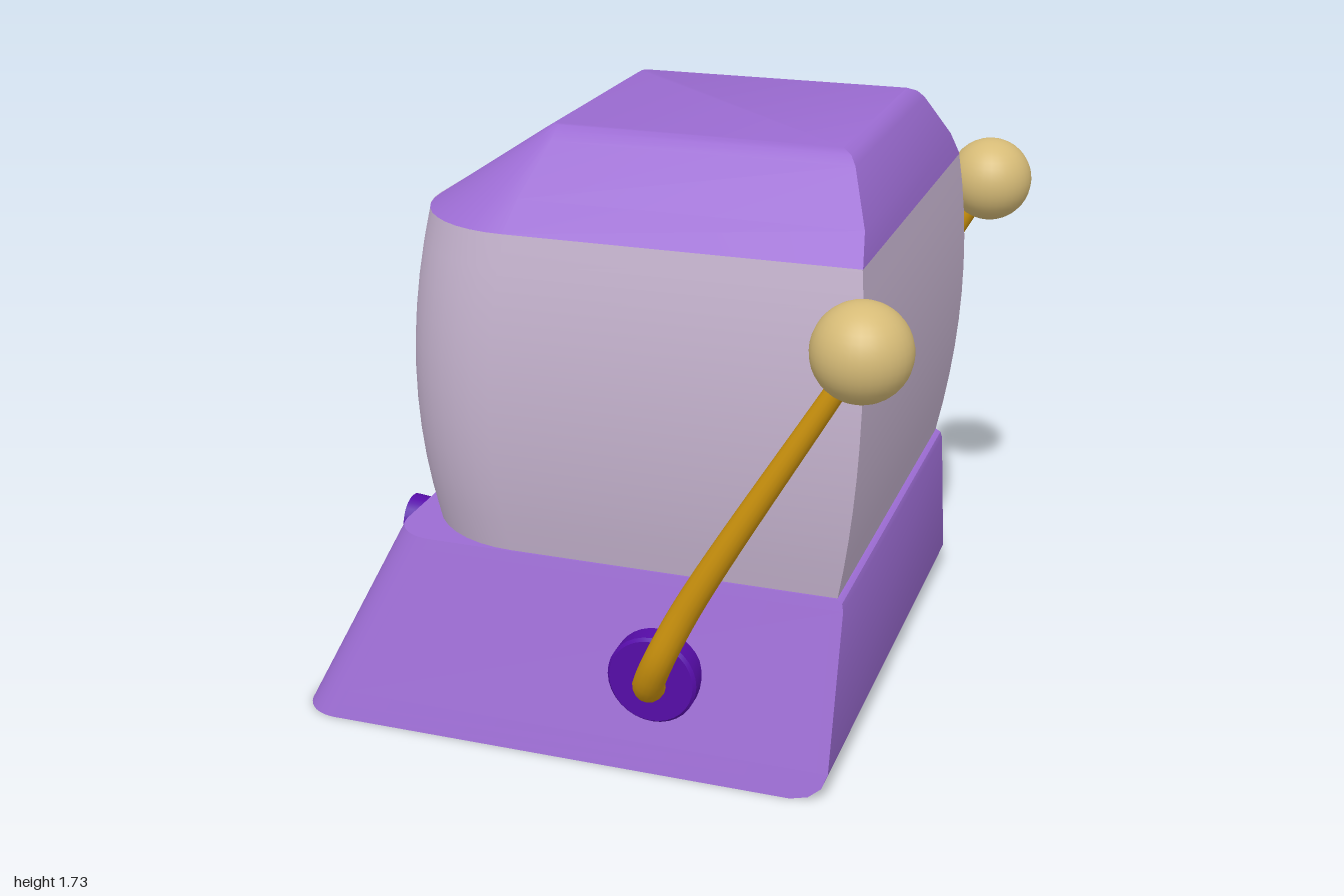
import * as THREE from 'three';
import { toCreasedNormals } from 'three/addons/utils/BufferGeometryUtils.js';

const mat = (name, color, side = THREE.FrontSide) => new THREE.MeshStandardMaterial({ name, color, side });

// Geometry from a list of quads, each with four [x, y, z] corners
function quads(list, crease = 0.6) {
  const pos = [];
  for (const [a, b, c, d] of list) pos.push(...a, ...b, ...c, ...a, ...c, ...d);
  const g = new THREE.BufferGeometry();
  g.setAttribute('position', new THREE.Float32BufferAttribute(pos, 3));
  return toCreasedNormals(g, crease);
}

// Plan outline: square corners at +x, rounded corners of radius r at -x
const ARC = 10;
function outline({ y, x0, x1, hz, r }) {
  const pts = [[x1, y, hz], [x1, y, -hz]];
  for (let i = 0; i <= ARC; i++) {
    const t = (i / ARC) * Math.PI / 2;
    pts.push([x0 + r - r * Math.sin(t), y, -hz + r - r * Math.cos(t)]);
  }
  for (let i = 0; i <= ARC; i++) {
    const t = (i / ARC) * Math.PI / 2;
    pts.push([x0 + r - r * Math.cos(t), y, hz - r + r * Math.sin(t)]);
  }
  return pts;
}

// Stack outlines from bottom to top, close both ends, optionally leave out one strip
function loft(sections, skip = -1, extra = []) {
  const rings = sections.map(outline), n = rings[0].length, list = [...extra];
  for (let k = 0; k < rings.length - 1; k++) {
    const a = rings[k], b = rings[k + 1];
    for (let i = 0; i < n; i++) {
      const j = (i + 1) % n;
      if (i !== skip) list.push([a[i], a[j], b[j], b[i]]);
    }
  }
  const lo = rings[0], hi = rings[rings.length - 1];
  for (let i = 1; i < n - 2; i += 2) {
    list.push([hi[0], hi[i], hi[i + 1], hi[i + 2]]);
    list.push([lo[0], lo[i + 2], lo[i + 1], lo[i]]);
  }
  return quads(list);
}

export function createModel() {
  const purple = mat('purple', 0x9c6cd3);
  const pale = mat('pale lilac', 0xc4b2cd);
  const violet = mat('deep violet', 0x560ca8);
  const violetOpen = mat('deep violet inside', 0x560ca8, THREE.DoubleSide);
  const black = mat('black', 0x080808, THREE.DoubleSide);
  const gold = mat('gold', 0xcb920d);
  const tan = mat('tan', 0xd6bb77);

  const model = new THREE.Group();
  const add = (name, geo, material, x = 0, y = 0, z = 0) => {
    const m = new THREE.Mesh(geo, material);
    m.name = name;
    m.position.set(x, y, z);
    model.add(m);
    return m;
  };

  // Sloping base with a trapezoid opening in its -x face
  const faceX = y => -0.91 + 0.47 * y;
  const halfZ = y => 0.8 - 0.27 * y;
  const R = 0.12, H = 0.55;
  const baseRows = [[0, 0.6], [0.012, 0.65], [0.04, 0.685], [0.08, 0.7], [0.52, 0.7], [0.54, 0.695], [H, 0.68]]
    .map(([y, x1]) => ({ y, x1, x0: faceX(y), hz: halfZ(y), r: R }));
  const trapezoid = [[0.08, -0.39], [0.08, 0.39], [0.39, 0.25], [0.39, -0.25]];
  const hole = trapezoid.map(([y, z]) => [faceX(y), y, z]);
  const face = [[0, -1], [0, 1], [H, 1], [H, -1]].map(([y, s]) => [faceX(y), y, s * (halfZ(y) - R)]);
  const around = face.map((p, i) => [p, face[(i + 1) % 4], hole[(i + 1) % 4], hole[i]]);
  add('base', loft(baseRows, ARC + 2, around), purple);

  // Tray: slim raised rim, ramped floor, side walls and a dark back
  const rim = hole.map(([x, y, z]) => [x - 0.016, y, z]);
  const bx = faceX(0.39);
  const inner = [[bx, 0.22, -0.32], [bx, 0.22, 0.32], [bx, 0.39, 0.25], [bx, 0.39, -0.25]];
  const trayWalls = [];
  for (let i = 0; i < 4; i++) {
    const j = (i + 1) % 4;
    trayWalls.push([hole[i], hole[j], rim[j], rim[i]]);
    trayWalls.push([rim[i], rim[j], inner[j], inner[i]]);
  }
  add('tray', quads(trayWalls, 0.2), violetOpen);
  add('trayBack', quads([inner]), black);

  // Bulging body
  const bodyRows = [];
  for (let i = 0; i <= 10; i++) {
    const t = i / 10, bulge = 1 - (2 * t - 1) ** 2;
    bodyRows.push({
      y: H + t * 0.93,
      x0: -0.615 - 0.04 * bulge,
      x1: 0.68 + 0.035 * t + 0.038 * bulge,
      hz: 0.645 - 0.015 * t + 0.048 * bulge,
      r: 0.34
    });
  }
  add('body', loft(bodyRows), pale);

  // Hipped roof
  add('roof', loft([
    { y: 1.48, x0: -0.612, x1: 0.716, hz: 0.63, r: 0.33 },
    { y: 1.56, x0: -0.49, x1: 0.7, hz: 0.555, r: 0.225 },
    { y: 1.695, x0: -0.285, x1: 0.64, hz: 0.43, r: 0.07 },
    { y: 1.718, x0: -0.25, x1: 0.622, hz: 0.405, r: 0.04 },
    { y: 1.73, x0: -0.23, x1: 0.595, hz: 0.38, r: 0.02 }
  ]), purple);

  for (const s of [1, -1]) {
    const side = s > 0 ? 'left' : 'right';

    // Round pivot with a softened outer edge
    const profile = [[0, 0], [0.11, 0], [0.13, 0.03], [0.13, 0.09], [0.122, 0.1], [0, 0.1]]
      .map(([r, y]) => new THREE.Vector2(r, y));
    const hub = toCreasedNormals(new THREE.LatheGeometry(profile, 32), 0.5);
    add(side + 'Pivot', hub, violet, 0.19, 0.28, s * 0.68).rotation.x = s * Math.PI / 2;

    // Bent lever, thinner toward the ball
    const path = new THREE.CatmullRomCurve3([
      [0.185, 0.26, 0.74], [0.195, 0.285, 0.815], [0.235, 0.38, 0.865], [0.33, 0.58, 0.867], [0.75, 1.3, 0.867]
    ].map(([x, y, z]) => new THREE.Vector3(x, y, s * z)));
    const SEG = 40, SIDES = 16;
    const arm = new THREE.TubeGeometry(path, SEG, 0.046, SIDES);
    const p = arm.attributes.position, v = new THREE.Vector3();
    for (let i = 0; i < p.count; i++) {
      const t = Math.floor(i / (SIDES + 1)) / SEG, c = path.getPointAt(t);
      v.fromBufferAttribute(p, i).sub(c).multiplyScalar(1 - 0.42 * t).add(c);
      p.setXYZ(i, v.x, v.y, v.z);
    }
    add(side + 'Lever', arm, gold);
    add(side + 'Ball', new THREE.SphereGeometry(0.131, 32, 20), tan, 0.775, 1.345, s * 0.867);

    // Small round socket above the tray, with a dark centre
    const socket = new THREE.CylinderGeometry(0.075, 0.068, 0.08, 24);
    add(side + 'Socket', socket, violet, -0.69, 0.453, s * 0.335).rotation.z = Math.PI / 2;
    const dark = new THREE.CircleGeometry(0.066, 24);
    add(side + 'SocketCentre', dark, black, -0.733, 0.453, s * 0.335).rotation.y = -Math.PI / 2;
  }
  return model;
}
